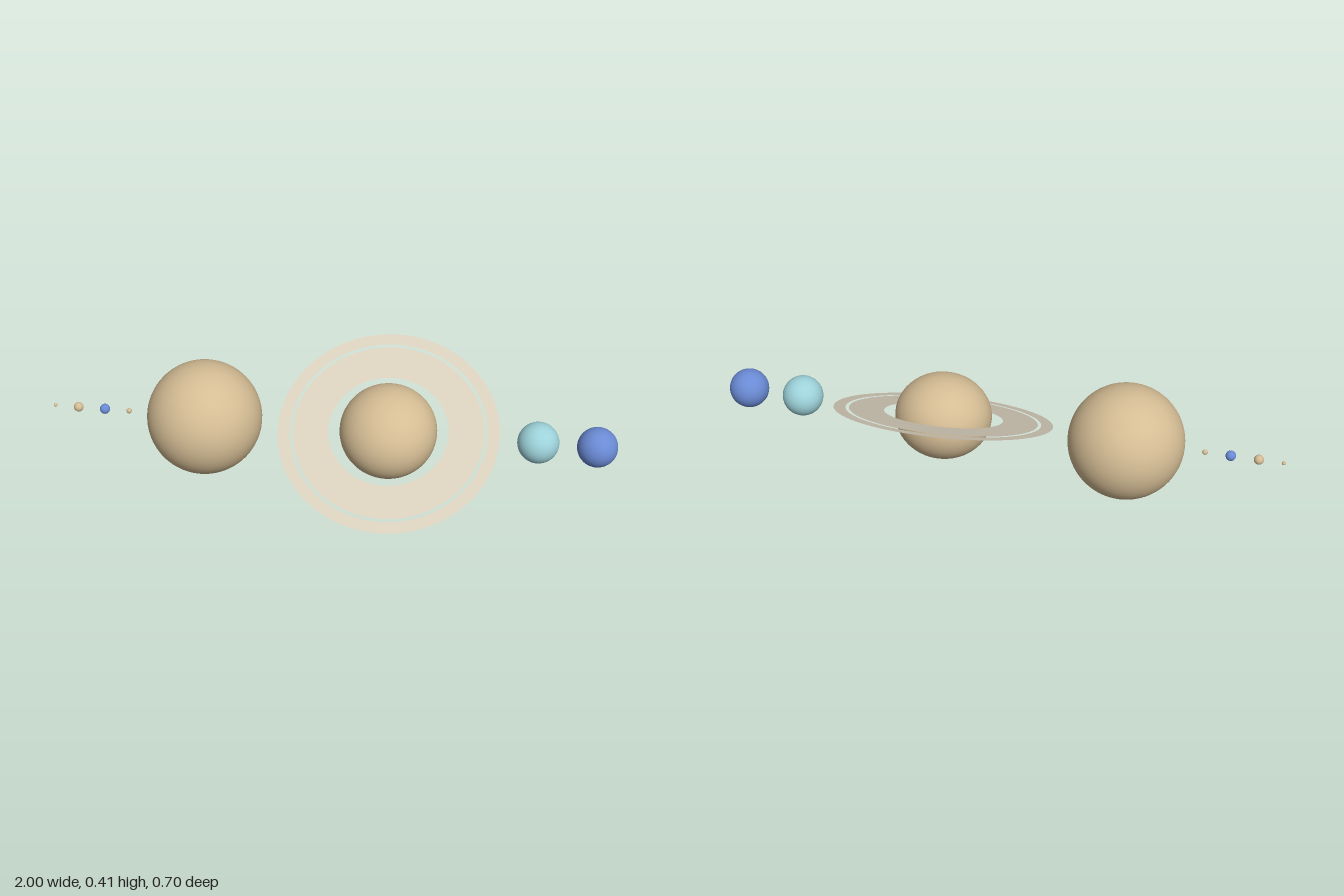
import * as THREE from 'three';

export function createModel() {
  const model = new THREE.Group();
  const tan = new THREE.MeshStandardMaterial({ name: 'sandy tan', color: 0xd4bc94 });
  const blue = new THREE.MeshStandardMaterial({ name: 'deep blue', color: 0x6a8ad4 });
  const cyan = new THREE.MeshStandardMaterial({ name: 'pale cyan', color: 0x9dd2da });
  const ice = new THREE.MeshStandardMaterial({ name: 'ring ivory', color: 0xd8cfbc, side: THREE.DoubleSide });

  const centreY = 0.2035; // the largest planet rests on the ground
  const gap = 0.0607; // clear space between neighbours
  const ringOuter = 0.389;

  // Planets in a row; reach is the half-width each one occupies
  const planets = [
    { name: 'mercury', r: 0.0069, mat: tan },
    { name: 'venus', r: 0.0172, mat: tan },
    { name: 'earth', r: 0.0181, mat: blue },
    { name: 'mars', r: 0.0096, mat: tan },
    { name: 'jupiter', r: 0.2035, mat: tan },
    { name: 'saturn', r: 0.171, mat: tan, flatten: 0.9, reach: ringOuter, tilt: 26.7 },
    { name: 'uranus', r: 0.0726, mat: cyan },
    { name: 'neptune', r: 0.0703, mat: blue },
  ];

  let x = -1;
  for (const p of planets) {
    const reach = p.reach ?? p.r;
    const group = new THREE.Group();
    group.name = p.name;
    group.position.set(x + reach, centreY, 0);
    group.rotation.x = THREE.MathUtils.degToRad(p.tilt ?? 0);
    x += 2 * reach + gap;

    const detail = p.r > 0.05 ? 64 : 32;
    const geometry = new THREE.SphereGeometry(p.r, detail, detail / 2);
    geometry.scale(1, p.flatten ?? 1, 1);
    const globe = new THREE.Mesh(geometry, p.mat);
    globe.name = p.name + 'Globe';
    group.add(globe);

    // Two flat rings with a narrow gap between them
    if (p.reach) {
      for (const [name, inner, outer] of [['innerRing', 0.211, 0.335], ['outerRing', 0.347, ringOuter]]) {
        const ring = new THREE.Mesh(new THREE.RingGeometry(inner, outer, 128).rotateX(-Math.PI / 2), ice);
        ring.name = name;
        group.add(ring);
      }
    }
    model.add(group);
  }
  return model;
}
